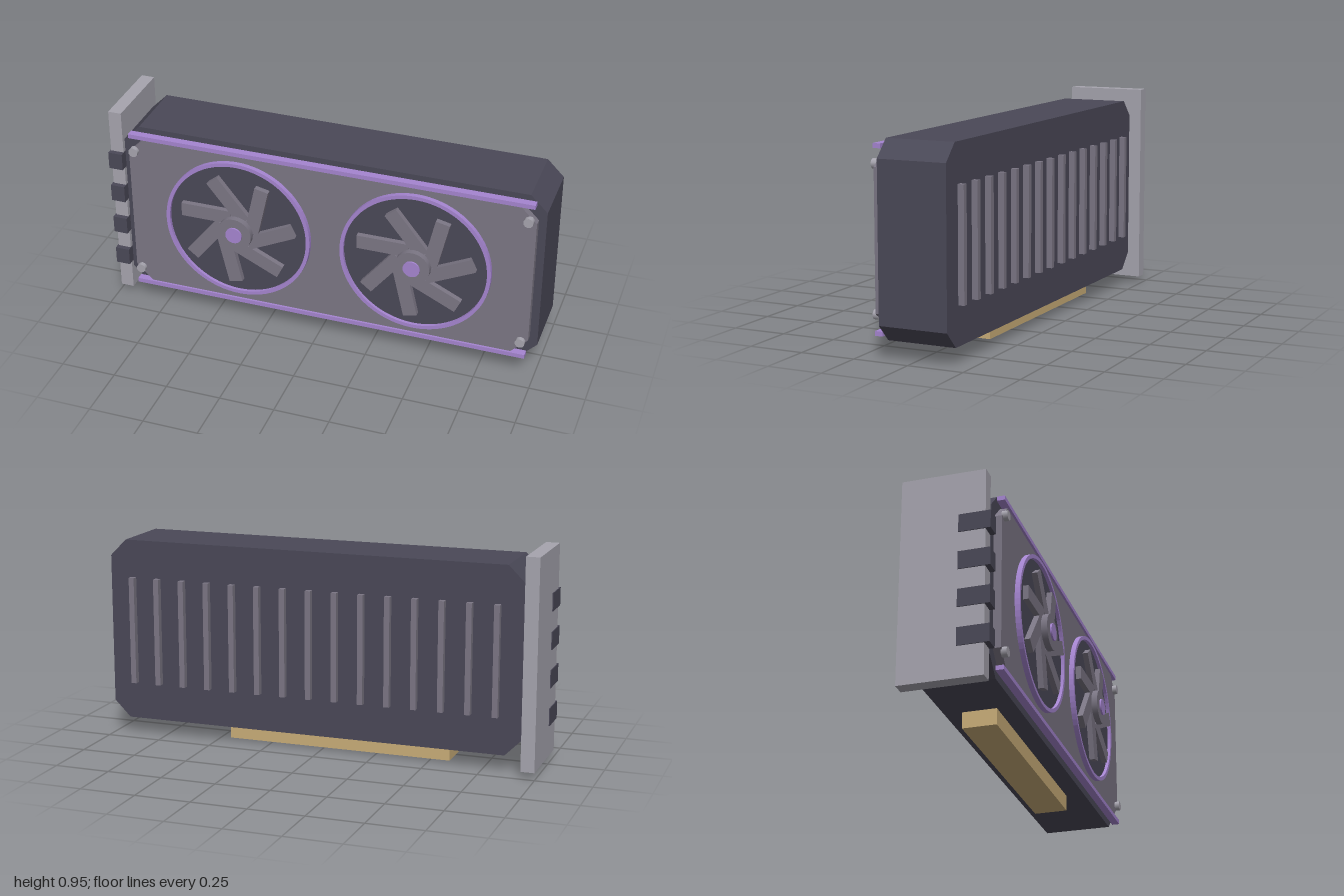
import * as THREE from 'three';

const mat = (name, color) => {
  const m = new THREE.MeshStandardMaterial({ color });
  m.name = name;
  return m;
};

export function createModel() {
  const dark = mat('dark shell', 0x4a4857);
  const grey = mat('grey plate', 0x7b7684);
  const light = mat('light metal', 0xa6a4ae);
  const purple = mat('purple accent', 0xa585d0);
  const gold = mat('gold contacts', 0xc9ad78);

  const root = new THREE.Group();
  root.name = 'graphicsCard';

  const add = (parent, name, geometry, material) => {
    const mesh = new THREE.Mesh(geometry, material);
    mesh.name = name;
    parent.add(mesh);
    return mesh;
  };

  // Box given by its extents on each axis
  const box = (parent, name, material, [x0, x1], [y0, y1], [z0, z1]) => {
    const mesh = add(parent, name, new THREE.BoxGeometry(x1 - x0, y1 - y0, z1 - z0), material);
    mesh.position.set((x0 + x1) / 2, (y0 + y1) / 2, (z0 + z1) / 2);
    return mesh;
  };

  // Slab with cut corners, extruded along z
  const slab = (name, material, [x0, x1], [y0, y1], [z0, z1], c) => {
    const shape = new THREE.Shape([
      [x0 + c, y0], [x1 - c, y0], [x1, y0 + c], [x1, y1 - c],
      [x1 - c, y1], [x0 + c, y1], [x0, y1 - c], [x0, y0 + c],
    ].map(([x, y]) => new THREE.Vector2(x, y)));
    const mesh = add(root, name, new THREE.ExtrudeGeometry(shape, { depth: z1 - z0, bevelEnabled: false }), material);
    mesh.position.z = z0;
  };

  // Cylinder lying along z between two depths
  const disc = (parent, name, material, r, z0, z1, sides) => {
    const geometry = new THREE.CylinderGeometry(r, r, z1 - z0, sides).rotateX(Math.PI / 2);
    const mesh = add(parent, name, geometry, material);
    mesh.position.z = (z0 + z1) / 2;
    return mesh;
  };

  // Main housing and front cover
  slab('housing', dark, [-0.925, 1], [0.075, 0.905], [-0.18, 0.13], 0.075);
  slab('frontCover', grey, [-0.89, 0.965], [0.11, 0.87], [0.13, 0.165], 0.08);

  // Accent strips along the upper and lower edges
  for (const y of [0.105, 0.875]) {
    box(root, 'accentStrip', purple, [-0.885, 0.955], [y - 0.01, y + 0.01], [0.14, 0.175]);
  }

  // Fans
  const ringShape = new THREE.Shape().absarc(0, 0, 0.341, 0, Math.PI * 2);
  ringShape.holes.push(new THREE.Path().absarc(0, 0, 0.324, 0, Math.PI * 2, true));
  const ringGeometry = new THREE.ExtrudeGeometry(ringShape, { depth: 0.023, bevelEnabled: false, curveSegments: 40 });
  const blades = 7;
  for (const x of [-0.374, 0.447]) {
    const fan = new THREE.Group();
    fan.name = 'fan';
    fan.position.set(x, 0.493, 0);
    root.add(fan);

    disc(fan, 'fanWell', dark, 0.326, 0.16, 0.172, 40);
    add(fan, 'fanRing', ringGeometry, purple).position.z = 0.164;
    for (let i = 0; i < blades; i++) {
      const a = (i / blades) * Math.PI * 2;
      const blade = add(fan, 'fanBlade', new THREE.BoxGeometry(0.235, 0.064, 0.025), grey);
      blade.position.set(Math.cos(a) * 0.157, Math.sin(a) * 0.157, 0.1875);
      blade.rotation.z = a + 0.45;
    }
    disc(fan, 'fanHub', grey, 0.08, 0.17, 0.227, 24);
    disc(fan, 'hubCap', purple, 0.038, 0.225, 0.235, 24);
  }

  // Corner screws
  for (const x of [-0.862, 0.932]) {
    for (const y of [0.18, 0.8]) {
      const screw = disc(root, 'screw', light, 0.022, 0.16, 0.186, 10);
      screw.position.x = x;
      screw.position.y = y;
    }
  }

  // Mounting bracket with ports
  box(root, 'bracket', light, [-0.996, -0.935], [0.028, 0.955], [-0.235, 0.13]);
  for (let i = 0; i < 4; i++) {
    const y = 0.207 + i * 0.17;
    box(root, 'port', dark, [-1, -0.934], [y - 0.04, y + 0.04], [0.015, 0.153]);
  }

  // Edge connector
  box(root, 'edgeConnector', gold, [-0.585, 0.455], [0, 0.072], [-0.1, 0.05]);

  // Ribs on the back
  for (let i = 0; i < 15; i++) {
    const x = -0.81 + i * 0.1214;
    box(root, 'backRib', grey, [x - 0.0125, x + 0.0125], [0.245, 0.735], [-0.207, -0.178]);
  }

  return root;
}
